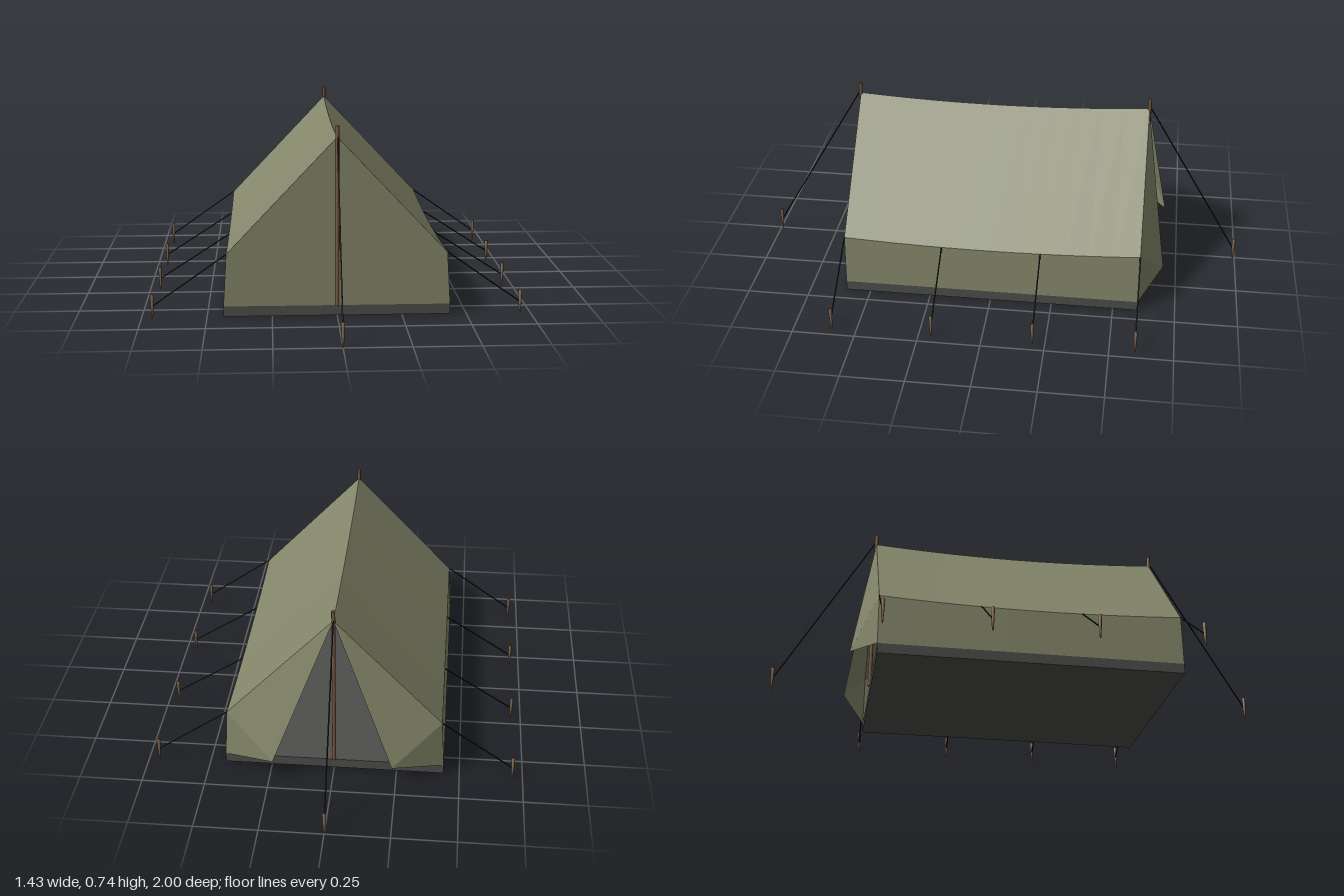
import * as THREE from 'three';

const HALF_LENGTH = 0.6, RIDGE = 0.695, EAVE = 0.246, EAVE_X = 0.424;
const BASE_X = 0.437, BASE_Y = 0.04, PEG_X = 0.709;

const material = (name, color, extra = {}) => {
  const m = new THREE.MeshStandardMaterial({ color, ...extra });
  m.name = name;
  return m;
};

// Cloth dips between the two poles
const sag = (z, depth) => depth * (1 - (z / HALF_LENGTH) ** 2);

// Flat-shaded surface from a list of quads or triangles
function panel(faces) {
  const pos = [];
  for (const f of faces) {
    for (let i = 1; i < f.length - 1; i++) pos.push(...f[0], ...f[i], ...f[i + 1]);
  }
  const g = new THREE.BufferGeometry();
  g.setAttribute('position', new THREE.Float32BufferAttribute(pos, 3));
  g.computeVertexNormals();
  return g;
}

export function createModel() {
  const tent = new THREE.Group();
  tent.name = 'tent';
  const canvas = material('olive canvas', 0x84876a, { side: THREE.DoubleSide });
  const groundsheet = material('dark grey groundsheet', 0x4e4e4c);
  const poleWood = material('brown pole wood', 0x7a5a42);
  const pegWood = material('tan peg wood', 0x8a7052);
  const cord = material('black cord', 0x16161a);

  const add = (name, geometry, mat) => {
    const mesh = new THREE.Mesh(geometry, mat);
    mesh.name = name;
    tent.add(mesh);
    return mesh;
  };

  // Groundsheet tray
  add('groundsheet', new THREE.BoxGeometry(BASE_X * 2, BASE_Y, HALF_LENGTH * 2), groundsheet)
    .position.y = BASE_Y / 2;

  // Sagging roof slopes and low side walls
  const ridgeAt = z => [0, RIDGE - sag(z, 0.022), z];
  const eaveAt = (s, z) => [s * EAVE_X, EAVE - sag(z, 0.018), z];
  const baseAt = (s, z) => [s * BASE_X, BASE_Y, z];
  const SEGMENTS = 12;
  for (const s of [1, -1]) {
    const side = s > 0 ? 'left' : 'right';
    const roof = [], wall = [];
    for (let i = 0; i < SEGMENTS; i++) {
      const a = HALF_LENGTH * (2 * i / SEGMENTS - 1);
      const b = HALF_LENGTH * (2 * (i + 1) / SEGMENTS - 1);
      const orient = f => (s > 0 ? f : f.reverse());
      roof.push(orient([ridgeAt(a), ridgeAt(b), eaveAt(s, b), eaveAt(s, a)]));
      wall.push(orient([eaveAt(s, a), eaveAt(s, b), baseAt(s, b), baseAt(s, a)]));
    }
    add(side + 'Roof', panel(roof), canvas);
    add(side + 'Wall', panel(wall), canvas);

    // Closed front half
    const f = HALF_LENGTH;
    const front = [ridgeAt(f), [0, BASE_Y, f], baseAt(s, f), eaveAt(s, f)];
    add(side + 'FrontPanel', panel([s > 0 ? front : front.reverse()]), canvas);

    // Back door flap swung outwards
    const tip = [s * 0.235, 0.085, -0.695];
    const flap = [
      [tip, ridgeAt(-f), eaveAt(s, -f)],
      [tip, eaveAt(s, -f), baseAt(s, -f)],
    ];
    add(side + 'DoorFlap', panel(s > 0 ? flap : flap.map(t => t.reverse())), canvas);
  }

  // Tapered ground peg
  const pegGeometry = new THREE.LatheGeometry(
    [[0, 0], [0.003, 0], [0.0055, 0.04], [0.0075, 0.093], [0, 0.093]]
      .map(p => new THREE.Vector2(...p)), 8);
  const addPeg = (x, z) => add('peg', pegGeometry, pegWood).position.set(x, 0, z);

  // Straight guy rope between two points
  const addRope = (from, to) => {
    const path = new THREE.LineCurve3(new THREE.Vector3(...from), new THREE.Vector3(...to));
    add('guyRope', new THREE.TubeGeometry(path, 1, 0.0028, 6), cord);
  };

  for (const end of [1, -1]) {
    // Upright pole with its long end rope
    const z = end * HALF_LENGTH;
    add('pole', new THREE.CylinderGeometry(0.0075, 0.0075, 0.698, 8), poleWood)
      .position.set(0, 0.389, z);
    addRope([0, 0.708, z], [0, 0.045, end * 0.992]);
    addPeg(0, end * 0.992);

    // Side ropes along the eave
    for (const pz of [-0.6, -0.2, 0.2, 0.6]) {
      addRope(eaveAt(end, pz), [end * PEG_X, 0.045, pz]);
      addPeg(end * PEG_X, pz);
    }
  }
  return tent;
}
